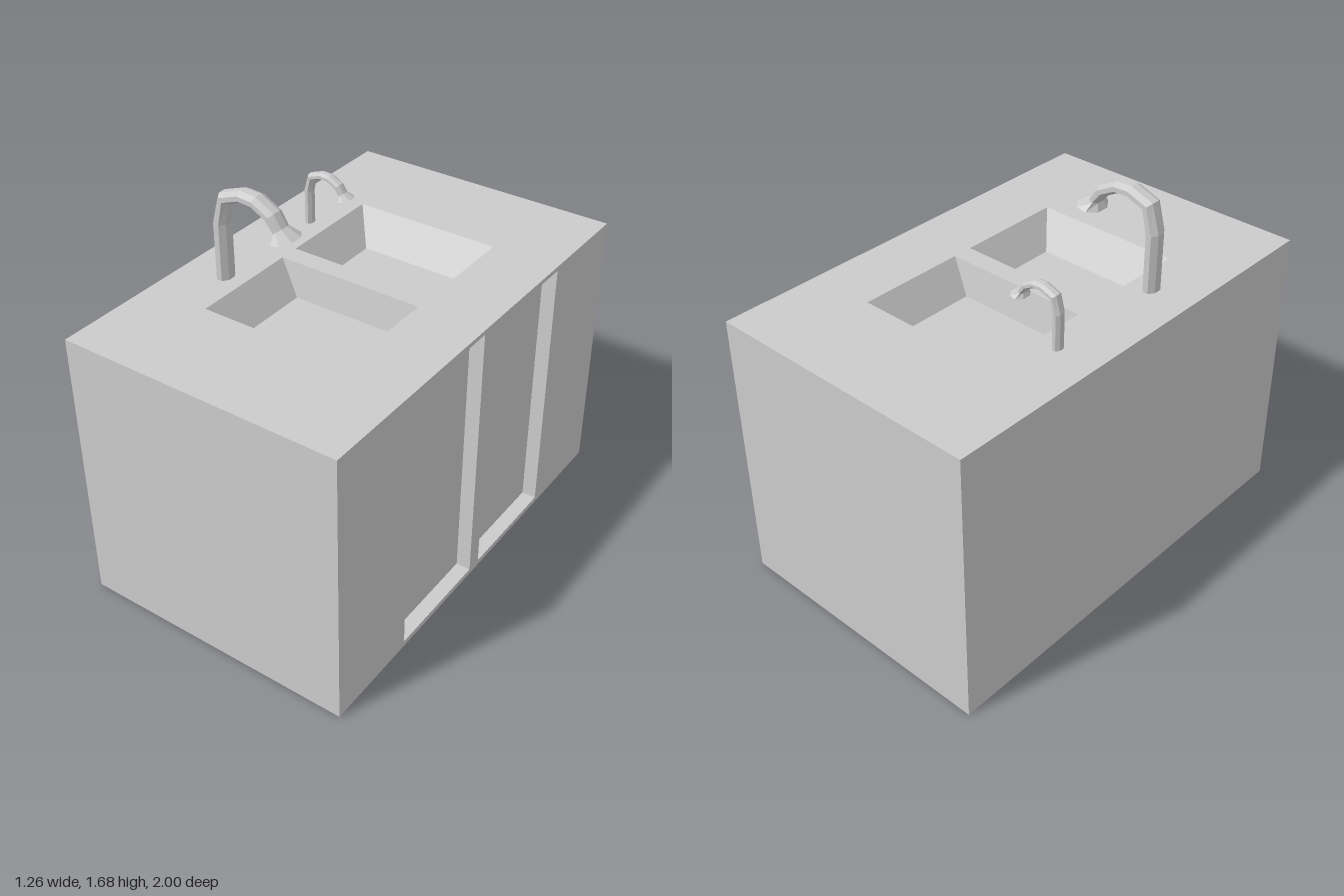
import * as THREE from 'three';

const W = 1.26, H = 1.26, D = 2;
const material = new THREE.MeshStandardMaterial({ color: 0xcccccc, flatShading: true });

// Flat-shaded mesh from a list of quads (corners counter-clockwise)
function quadMesh(name, quads) {
  const pos = [];
  for (const [a, b, c, d] of quads) for (const p of [a, b, c, a, c, d]) pos.push(...p);
  const geo = new THREE.BufferGeometry();
  geo.setAttribute('position', new THREE.Float32BufferAttribute(pos, 3));
  geo.computeVertexNormals();
  const mesh = new THREE.Mesh(geo, material);
  mesh.name = name;
  return mesh;
}

// Corners of a rectangle [x0, y0, x1, y1] at height z
const corners = ([x0, y0, x1, y1], z) => [[x0, y0, z], [x1, y0, z], [x1, y1, z], [x0, y1, z]];

// Pocket sunk behind the plane z = 0, open at the front
function pocket({ name, rim, floor, depth }) {
  const o = corners(rim, 0), i = corners(floor, -depth);
  const walls = o.map((_, k) => [o[k], o[(k + 1) % 4], i[(k + 1) % 4], i[k]]);
  return quadMesh(name, [...walls, i]);
}

// Flat side of the cabinet, facing +z, with pockets cut into it
function panel(name, w, h, pockets = []) {
  const group = new THREE.Group();
  group.name = name;
  const outline = (r) => corners(r, 0).map(([x, y]) => new THREE.Vector2(x, y));
  const shape = new THREE.Shape(outline([-w / 2, -h / 2, w / 2, h / 2]));
  for (const p of pockets) {
    shape.holes.push(new THREE.Path(outline(p.rim)));
    group.add(pocket(p));
  }
  const face = new THREE.Mesh(new THREE.ShapeGeometry(shape), material);
  face.name = name + 'Face';
  group.add(face);
  return group;
}

// Gooseneck tap: eight-sided sections [x, y, heading in degrees, half height, half width]
const TAP = [
  [0, 0, 90, 0.031, 0.0425],
  [0, 0.255, 82, 0.031, 0.0425],
  [0.027, 0.367, 48, 0.028, 0.0425],
  [0.116, 0.4, 8, 0.025, 0.0425],
  [0.183, 0.396, -12, 0.025, 0.0425],
  [0.256, 0.356, -48, 0.025, 0.0425],
  [0.292, 0.305, -55, 0.021, 0.041],
  [0.315, 0.271, -78, 0.053, 0.0725],
];

function tap(name) {
  const sides = 8;
  const rings = TAP.map(([x, y, deg, hh, hw]) => {
    const a = THREE.MathUtils.degToRad(deg), k = 1 / Math.cos(Math.PI / sides);
    return Array.from({ length: sides }, (_, j) => {
      const t = ((j + 0.5) / sides) * Math.PI * 2;
      const n = Math.cos(t) * hh * k;
      return [x - Math.sin(a) * n, y + Math.cos(a) * n, Math.sin(t) * hw * k];
    });
  });
  const quads = [];
  for (let i = 0; i < rings.length - 1; i++) {
    for (let j = 0; j < sides; j++) {
      const m = (j + 1) % sides;
      quads.push([rings[i][j], rings[i][m], rings[i + 1][m], rings[i + 1][j]]);
    }
  }
  // Spout end cap
  const e = rings[rings.length - 1];
  for (let j = 1; j < sides - 1; j += 2) quads.push([e[0], e[j], e[j + 1], e[(j + 2) % sides]]);
  return quadMesh(name, quads);
}

export function createModel() {
  const model = new THREE.Group();
  model.name = 'sinkCabinet';

  // Worktop with two sloped basins (panel y runs towards -z)
  const top = panel('worktop', W, D, [
    { name: 'frontBasin', rim: [-0.34, -0.53, 0.33, -0.04], floor: [-0.25, -0.43, 0.245, -0.065], depth: 0.15 },
    { name: 'backBasin', rim: [-0.34, 0.05, 0.33, 0.54], floor: [-0.25, 0.075, 0.245, 0.44], depth: 0.15 },
  ]);
  top.rotation.x = -Math.PI / 2;
  top.position.y = H;

  // Side with two recessed doors (panel x runs towards -z)
  const doors = [['frontDoor', -0.55, -0.035], ['backDoor', 0.035, 0.55]].map(([name, a, b]) => {
    const rect = [a, 0.025 - H / 2, b, 1.24 - H / 2];
    return { name, rim: rect, floor: rect, depth: 0.065 };
  });
  const doorSide = panel('doorSide', D, H, doors);
  doorSide.rotation.y = Math.PI / 2;
  doorSide.position.set(W / 2, H / 2, 0);

  // Plain sides and underside
  const plainSide = panel('plainSide', D, H);
  plainSide.rotation.y = -Math.PI / 2;
  plainSide.position.set(-W / 2, H / 2, 0);
  const front = panel('frontEnd', W, H);
  front.position.set(0, H / 2, D / 2);
  const back = panel('backEnd', W, H);
  back.rotation.y = Math.PI;
  back.position.set(0, H / 2, -D / 2);
  const base = panel('underside', W, D);
  base.rotation.x = Math.PI / 2;

  // Large and small taps
  const largeTap = tap('largeTap');
  largeTap.position.set(-0.435, H, 0.29);
  const smallTap = tap('smallTap');
  smallTap.scale.setScalar(0.6);
  smallTap.position.set(-0.435, H, -0.28);

  model.add(top, doorSide, plainSide, front, back, base, largeTap, smallTap);
  return model;
}
